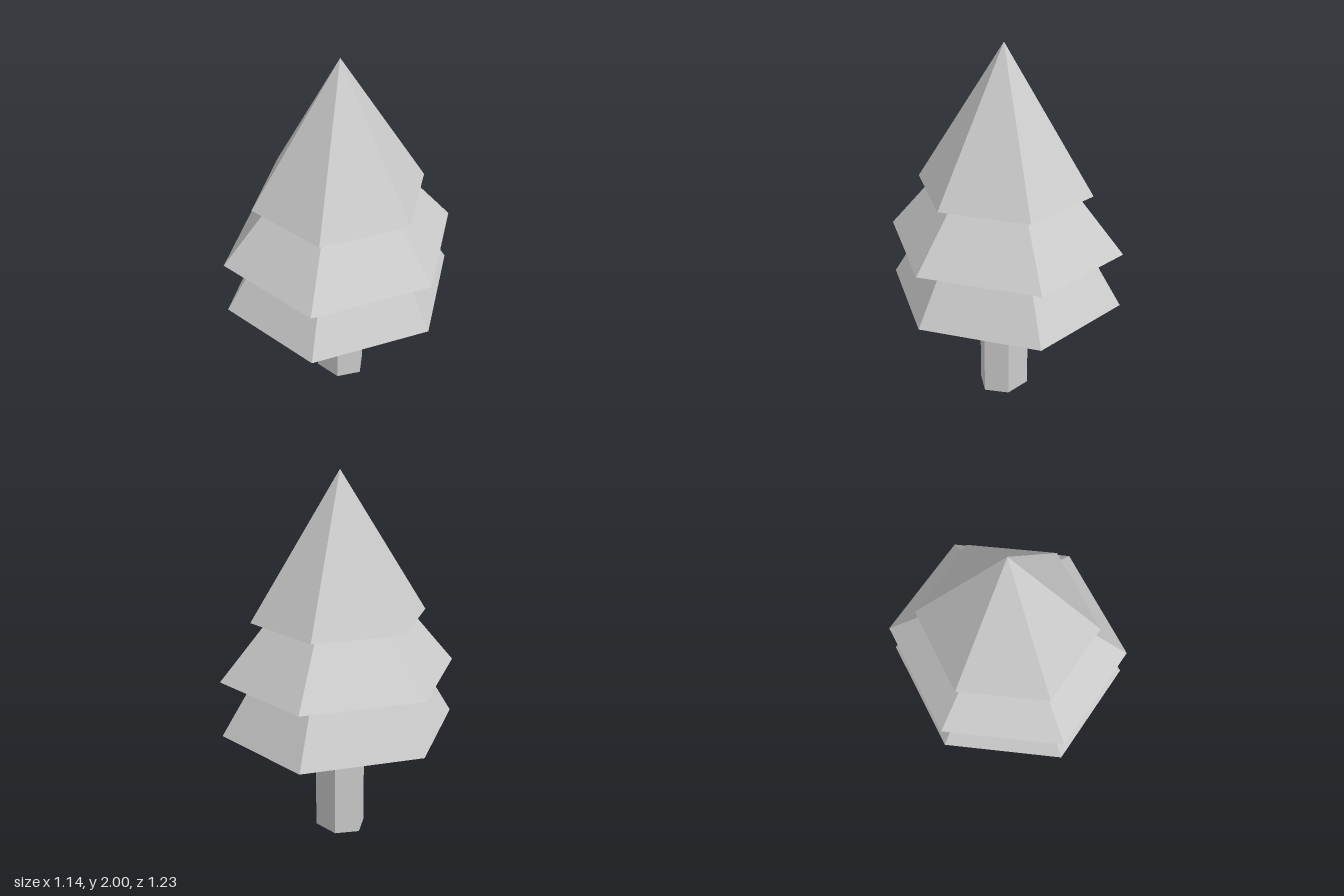
import * as THREE from 'three';

const SIDES = 6;

// A ring is [half width in x, half depth in z, height]; corners point to +z and -z.
function corner([hx, hz, y], k) {
  const a = (k % SIDES) * Math.PI * 2 / SIDES;
  return [hx * Math.sin(a) / Math.sin(Math.PI / 3), y, hz * Math.cos(a)];
}

// Faceted skin through a stack of hexagonal rings, listed from the bottom up.
function loft(name, rings, material) {
  const positions = [];
  for (let i = 0; i < rings.length - 1; i++) {
    for (let k = 0; k < SIDES; k++) {
      const a = corner(rings[i], k), b = corner(rings[i], k + 1);
      const c = corner(rings[i + 1], k + 1), d = corner(rings[i + 1], k);
      positions.push(...a, ...b, ...c);
      if (rings[i + 1][0] > 0) positions.push(...a, ...c, ...d);
    }
  }
  const geometry = new THREE.BufferGeometry();
  geometry.setAttribute('position', new THREE.Float32BufferAttribute(positions, 3));
  geometry.computeVertexNormals();
  const mesh = new THREE.Mesh(geometry, material);
  mesh.name = name;
  return mesh;
}

export function createModel() {
  const tree = new THREE.Group();
  tree.name = 'tree';
  const material = new THREE.MeshStandardMaterial({
    color: 0xcccccc, flatShading: true, side: THREE.DoubleSide,
  });

  // Trunk: a hexagonal tube, open at the foot
  const trunkTop = [0.113, 0.153, 0.62];
  tree.add(loft('trunk', [[0.113, 0.153, 0], trunkTop], material));

  // Foliage: each tier has a flat underside that starts where the part below ends
  const tiers = [
    ['lowerBranches', [0.572, 0.613, 0.62], [0.408, 0.438, 0.927]],
    ['middleBranches', [0.572, 0.613, 0.927], [0.346, 0.37, 1.234]],
    ['treeTop', [0.419, 0.46, 1.234], [0, 0, 2]],
  ];
  let below = trunkTop;
  for (const [name, rim, top] of tiers) {
    tree.add(loft(name, [below, rim, top], material));
    below = top;
  }
  return tree;
}
